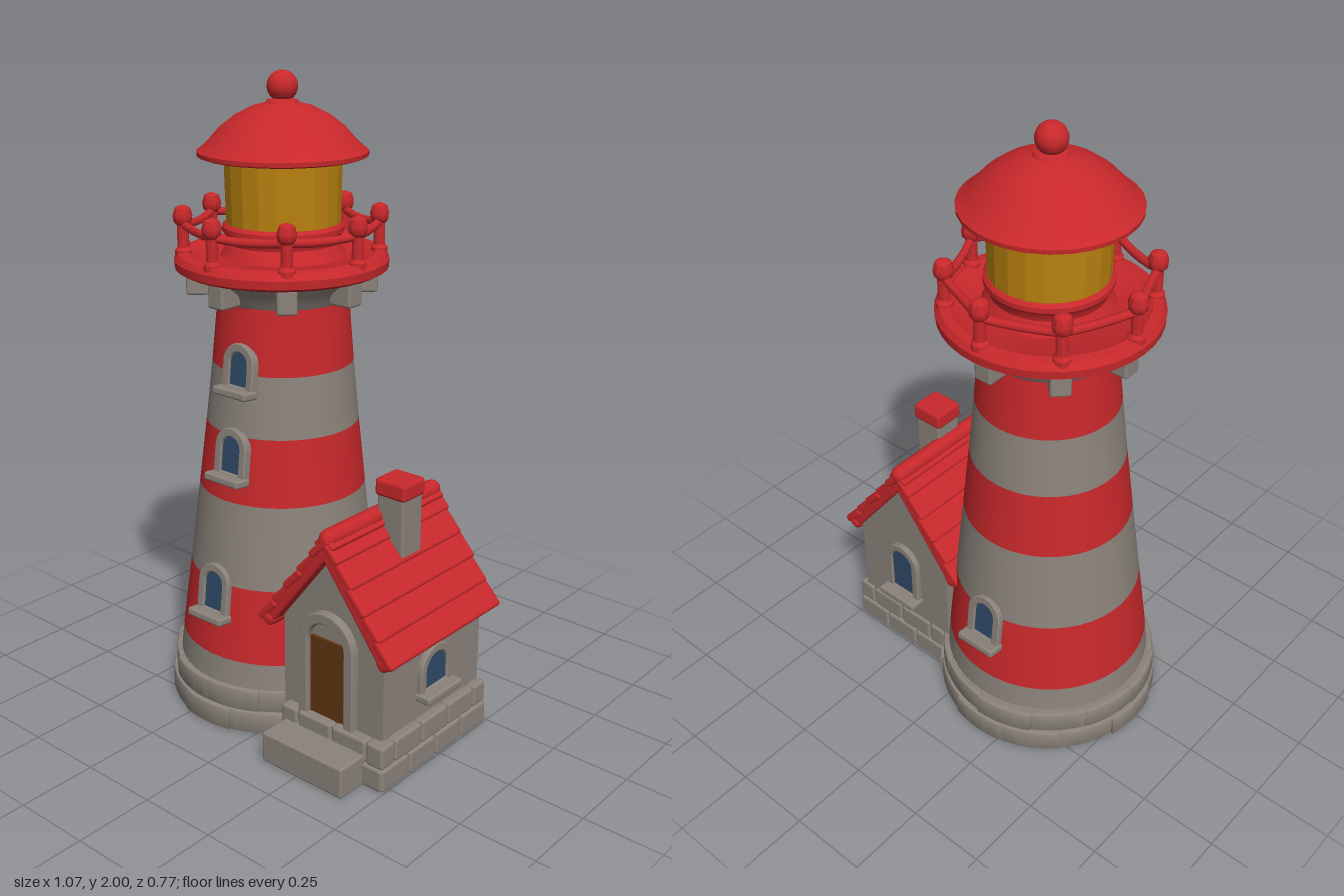
import * as THREE from 'three';
import { toCreasedNormals } from 'three/addons/utils/BufferGeometryUtils.js';
import { RoundedBoxGeometry } from 'three/addons/geometries/RoundedBoxGeometry.js';

const mat = (name, color) => {
  const m = new THREE.MeshStandardMaterial({ color });
  m.name = name;
  return m;
};

export function createModel() {
  const red = mat('red paint', 0xc8282b);
  const stone = mat('grey stone', 0x8b837b);
  const amber = mat('amber lamp', 0xba820f);
  const blue = mat('blue glass', 0x2f4a66);
  const brown = mat('brown door', 0x623610);
  const root = new THREE.Group();
  root.name = 'lighthouse';

  const add = (name, geo, m, x = 0, y = 0, z = 0, parent = root) => {
    const mesh = new THREE.Mesh(geo, m);
    mesh.name = name;
    mesh.position.set(x, y, z);
    parent.add(mesh);
    return mesh;
  };
  const group = (name, x, y, z, parent = root) => {
    const g = new THREE.Group();
    g.name = name;
    g.position.set(x, y, z);
    parent.add(g);
    return g;
  };
  const box = (w, h, d, r = 0.008) => new RoundedBoxGeometry(w, h, d, 2, r);
  const lathe = (pts, seg = 40) =>
    toCreasedNormals(new THREE.LatheGeometry(pts.map(p => new THREE.Vector2(...p)), seg), 0.6);

  // Arched outline standing on its base line
  const arch = (hw, h, S = THREE.Shape, y0 = 0) => {
    const s = new S();
    s.moveTo(-hw, y0);
    s.lineTo(hw, y0);
    s.lineTo(hw, h - hw);
    s.absarc(0, h - hw, hw, 0, Math.PI, false);
    s.lineTo(-hw, y0);
    return s;
  };
  const archFrame = (hw, h, t, depth, y0) => {
    const s = arch(hw, h);
    s.holes.push(arch(hw - t, h - t, THREE.Path, y0));
    const b = 0.004;
    return toCreasedNormals(new THREE.ExtrudeGeometry(s, {
      depth: depth - b, bevelEnabled: true, bevelSize: b, bevelThickness: b, bevelSegments: 1, curveSegments: 10,
    }), 0.5);
  };
  // Window facing +z with its foot at the group origin
  const makeWindow = (name, x, y, z, hw, h, turn = 0, tilt = 0) => {
    const g = group(name, x, y, z);
    g.rotation.set(tilt, turn, 0, 'YXZ');
    add('windowFrame', archFrame(hw, h, 0.02, 0.025, 0.01), stone, 0, 0, -0.008, g);
    add('windowGlass', new THREE.ShapeGeometry(arch(hw - 0.014, h - 0.014), 10), blue, 0, 0, 0.009, g);
    add('windowSill', box(hw * 2 + 0.02, 0.026, 0.06), stone, 0, -0.004, 0.022, g);
  };

  // Tower: slightly leaning, tapered painted bands
  const TZ = -0.015;
  const axis = y => -0.146 - 0.018 * (1.33 - y) / 1.1;
  const bands = [[0.1, 0.335], [0.23, 0.322], [0.47, 0.293], [0.735, 0.262], [0.945, 0.238], [1.135, 0.218], [1.335, 0.2]];
  for (let i = 0; i < bands.length - 1; i++) {
    const [y0, r0] = bands[i], [y1, r1] = bands[i + 1];
    const geo = new THREE.CylinderGeometry(r1, r0, y1 - y0, 48, 1, true);
    const p = geo.attributes.position;
    for (let k = 0; k < p.count; k++) p.setX(k, p.getX(k) + axis(p.getY(k) + (y0 + y1) / 2));
    add('towerBand', geo, i % 2 ? red : stone, 0, (y0 + y1) / 2, TZ);
  }
  makeWindow('towerWindowTop', -0.127, 1.085, 0.202, 0.058, 0.14, 0, -0.1);
  makeWindow('towerWindowMiddle', -0.137, 0.815, 0.234, 0.06, 0.15, 0, -0.115);
  makeWindow('towerWindowLow', -0.173, 0.365, 0.286, 0.06, 0.16, 0, -0.115);
  makeWindow('towerWindowBack', -0.155, 0.365, -0.316, 0.06, 0.16, Math.PI, -0.115);

  // Round stone plinth: two courses of curved blocks on a core
  const plinth = group('towerPlinth', -0.172, 0, -0.02);
  add('plinthCore', new THREE.CylinderGeometry(0.335, 0.345, 0.148, 48), stone, 0, 0.074, 0, plinth);
  const N = 12;
  for (let c = 0; c < 2; c++) for (let i = 0; i < N; i++) {
    const half = Math.PI / N - 0.016, r = 0.353 - c * 0.01 + 0.004 * Math.sin(i * 2.3 + c);
    const s = new THREE.Shape();
    s.absarc(0, 0, r, -half, half, false);
    s.absarc(0, 0, 0.29, half, -half, true);
    s.closePath();
    const geo = new THREE.ExtrudeGeometry(s, {
      depth: 0.058, bevelEnabled: true, bevelSize: 0.008, bevelThickness: 0.008, bevelSegments: 2, curveSegments: 5,
    });
    geo.rotateX(-Math.PI / 2);
    add('plinthBlock', toCreasedNormals(geo, 0.6), stone, 0, 0.008 + c * 0.073, 0, plinth)
      .rotation.y = (i + c * 0.5) * 2 * Math.PI / N;
  }

  // Gallery: stone flare, brackets, deck, posts and rails
  const gallery = group('gallery', -0.154, 0, -0.018);
  add('galleryFlare', lathe([[0.199, 1.325], [0.212, 1.345], [0.225, 1.375], [0.262, 1.405], [0.27, 1.425], [0, 1.425]]), stone, 0, 0, 0, gallery);
  add('galleryDeck', lathe([[0, 1.415], [0.305, 1.415], [0.323, 1.425], [0.325, 1.45], [0.312, 1.468], [0.285, 1.472], [0.27, 1.462], [0, 1.462]]), red, 0, 0, 0, gallery);
  const post = lathe([[0.026, 1.455], [0.026, 1.475], [0.018, 1.485], [0.018, 1.55], [0.027, 1.56], [0.03, 1.58], [0.023, 1.602], [0, 1.612]], 10);
  const at = (i, r, y) => new THREE.Vector3(Math.sin(i * Math.PI / 4) * r, y, Math.cos(i * Math.PI / 4) * r);
  for (let i = 0; i < 8; i++) {
    const b = at(i, 0.25, 1.378);
    add('bracket', box(0.06, 0.075, 0.08), stone, b.x, b.y, b.z, gallery).rotation.y = i * Math.PI / 4;
    const a = at(i, 0.295, 1.553), e = at(i + 1, 0.295, 1.553);
    add('railPost', post, red, a.x, 0, a.z, gallery);
    const mid = at(i + 0.5, 0.262, 1.535);
    add('handRail', new THREE.TubeGeometry(new THREE.QuadraticBezierCurve3(a, mid, e), 6, 0.013, 8), red, 0, 0, 0, gallery);
  }

  // Lantern room and domed cap
  const lantern = group('lantern', -0.147, 0, -0.018);
  add('lanternBase', lathe([[0.195, 1.455], [0.182, 1.475], [0.168, 1.5], [0.172, 1.52], [0.184, 1.535], [0.184, 1.55], [0.174, 1.56], [0, 1.56]]), red, 0, 0, 0, lantern);
  add('lampGlass', toCreasedNormals(new THREE.CylinderGeometry(0.177, 0.173, 0.21, 20), 0.2), amber, 0, 1.657, 0, lantern);
  add('cap', lathe([[0, 1.757], [0.24, 1.752], [0.254, 1.757], [0.255, 1.77], [0.243, 1.778], [0.222, 1.797], [0.185, 1.838],
    [0.14, 1.872], [0.09, 1.897], [0.05, 1.907], [0.045, 1.915], [0.028, 1.92], [0.02, 1.935]], 28), red, 0, 0, 0, lantern);
  add('capBall', new THREE.SphereGeometry(0.046, 18, 12), red, 0, 1.954, 0, lantern);

  // House walls
  const HX = 0.272;
  const gable = new THREE.Shape();
  [[-0.187, 0.1], [0.195, 0.1], [0.195, 0.44], [0, 0.695], [-0.187, 0.45]].forEach(([x, y], i) =>
    i ? gable.lineTo(x, y) : gable.moveTo(x, y));
  add('houseWalls', new THREE.ExtrudeGeometry(gable, { depth: 0.48, bevelEnabled: false }), stone, HX, 0, -0.235);

  // House plinth: core with two courses of rounded blocks
  add('housePlinthCore', new THREE.BoxGeometry(0.365, 0.142, 0.505), stone, 0.3, 0.071, 0.02);
  const sides = [[0.1, 0.262, 0.497, 0.262, 3], [0.474, 0.285, 0.474, -0.245, 4], [0.497, -0.222, 0.1, -0.222, 3]];
  for (const [x0, z0, x1, z1, n] of sides) for (let c = 0; c < 2; c++) {
    const len = Math.hypot(x1 - x0, z1 - z0);
    const cuts = [0];
    for (let i = 1; i < n + c; i++) cuts.push((i - c * 0.5) / n);
    cuts.push(1);
    for (let i = 0; i < cuts.length - 1; i++) {
      const t = (cuts[i] + cuts[i + 1]) / 2;
      add('housePlinthBlock', box((cuts[i + 1] - cuts[i]) * len - 0.004, 0.074, 0.05 - c * 0.008, 0.01), stone,
        x0 + (x1 - x0) * t, 0.037 + c * 0.073, z0 + (z1 - z0) * t).rotation.y = Math.atan2(z0 - z1, x1 - x0);
    }
  }
  add('doorStep', box(0.31, 0.1, 0.12), stone, 0.27, 0.05, 0.325);

  // Door in its arched surround
  add('doorFrame', archFrame(0.102, 0.36, 0.028, 0.028, 0.005), stone, 0.265, 0.135, 0.243);
  add('door', new THREE.BoxGeometry(0.142, 0.265, 0.008), brown, 0.265, 0.272, 0.249);

  makeWindow('houseWindowSide', 0.467, 0.225, 0.005, 0.075, 0.145, Math.PI / 2);
  makeWindow('houseWindowBack', 0.275, 0.23, -0.235, 0.068, 0.205, Math.PI);

  // Roof: a slab each side carrying overlapping courses
  const slope = 0.915, roofLen = 0.545, RZ = 0.018;
  for (const s of [1, -1]) {
    const side = group('roofSlope', HX, 0.757, RZ);
    side.rotation.z = -s * slope;
    add('roofSlab', box(0.4, 0.036, roofLen - 0.01), red, s * 0.2, -0.032, 0, side);
    for (let i = 0; i < 5; i++) {
      const course = add('roofCourse', box(0.094, 0.026, roofLen - (i % 2) * 0.008, 0.01), red, s * (0.046 + i * 0.083), -0.012, 0, side);
      course.rotation.z = s * 0.1;
    }
    add('roofEave', box(0.045, 0.05, roofLen, 0.018), red, s * 0.4, -0.03, 0, side);
  }
  const ridge = add('roofRidge', new THREE.CapsuleGeometry(0.028, roofLen - 0.05, 4, 12), red, HX, 0.742, RZ - 0.002);
  ridge.rotation.x = Math.PI / 2;

  // Chimney
  add('chimney', box(0.098, 0.24, 0.095), stone, 0.325, 0.7, 0);
  add('chimneyCap', box(0.112, 0.056, 0.105, 0.012), red, 0.325, 0.836, 0);

  return root;
}
